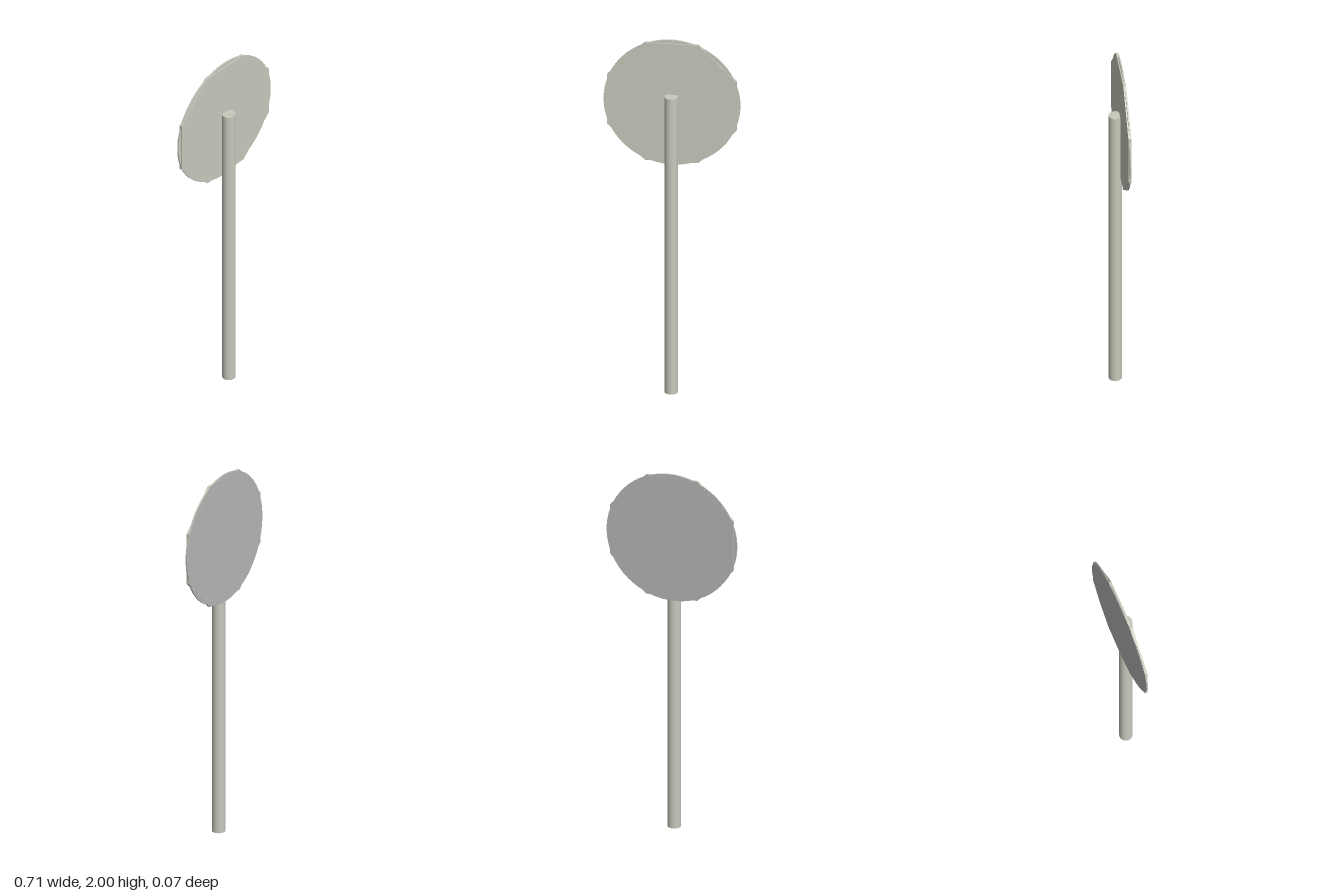
import * as THREE from 'three';

const CENTRE_Y = 1.644;

export function createModel() {
  const group = new THREE.Group();
  const paint = new THREE.MeshStandardMaterial({ color: 0xc6cabb });
  paint.name = 'pale sage';
  const backGrey = new THREE.MeshStandardMaterial({ color: 0xb7b7b7 });
  backGrey.name = 'back grey';

  // Plate facing +z between two depths: painted rim and front, grey back
  function plate(name, radius, sides, zBack, zFront, faceted) {
    let geo = new THREE.CylinderGeometry(radius, radius, zFront - zBack, sides, 1, false, Math.PI / sides);
    geo.rotateX(Math.PI / 2);
    if (faceted) {
      geo = geo.toNonIndexed();
      geo.computeVertexNormals();
    }
    const mesh = new THREE.Mesh(geo, [paint, paint, backGrey]);
    mesh.name = name;
    mesh.position.set(0, CENTRE_Y, (zBack + zFront) / 2);
    group.add(mesh);
  }

  // Round sign disc, showing past the flats of the octagonal plate
  plate('signDisc', 0.356, 64, -0.037, -0.029, false);
  plate('octagonPlate', 0.364, 8, -0.038, -0.023, true);

  // Round post standing on the ground
  const post = new THREE.Mesh(new THREE.CylinderGeometry(0.035, 0.035, 1.69, 32), paint);
  post.name = 'post';
  post.position.y = 0.845;
  group.add(post);

  return group;
}
